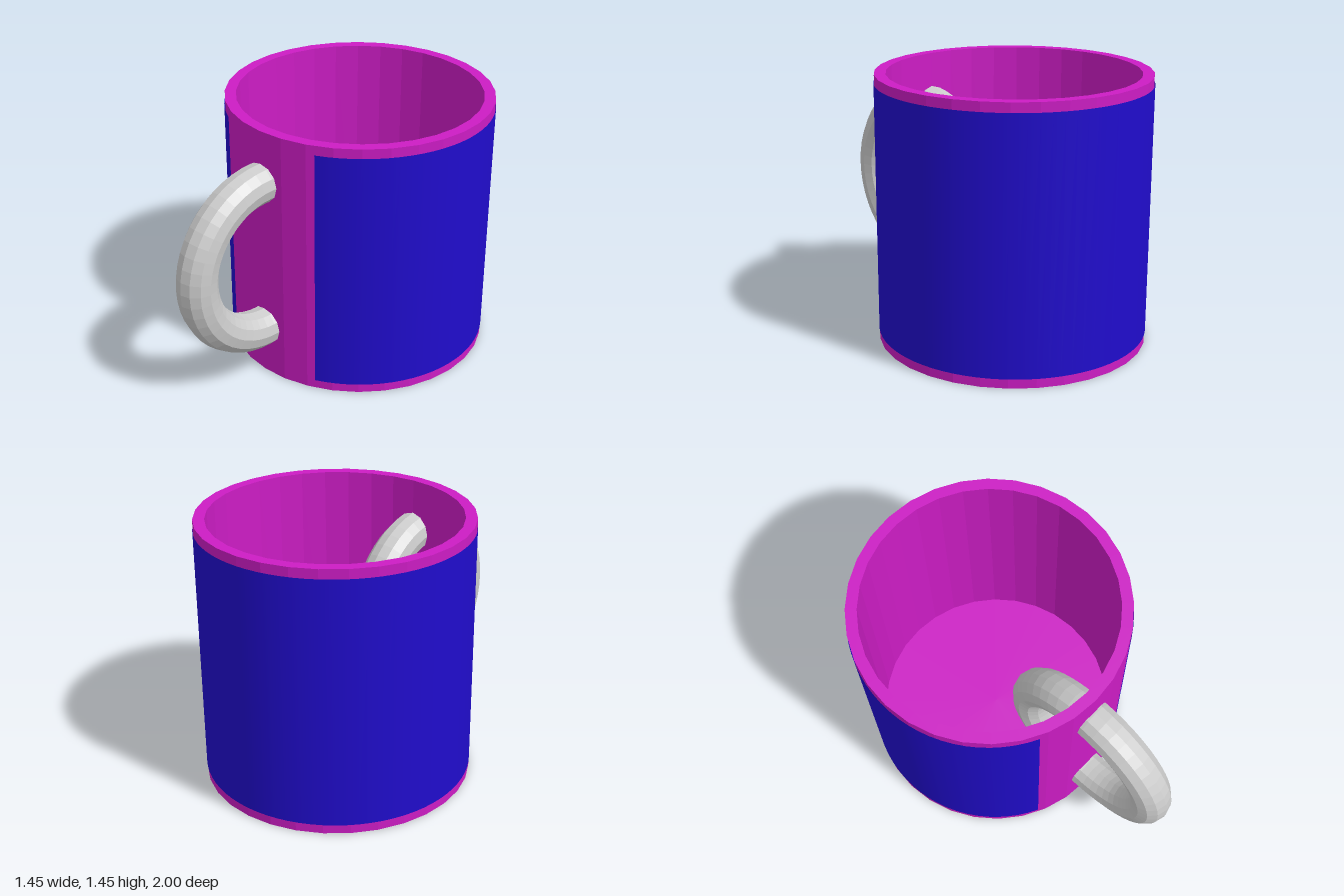
import * as THREE from 'three';

export function createModel() {
  const model = new THREE.Group();
  model.name = 'mug';
  const height = 1.45, radius = 0.723, innerRadius = 0.663, floor = 0.06, bodyZ = -0.275;

  const add = (name, geometry, options, y, z) => {
    const mesh = new THREE.Mesh(geometry, new THREE.MeshStandardMaterial(options));
    mesh.name = name;
    mesh.position.set(0, y, z);
    model.add(mesh);
    return mesh;
  };

  // Hollow faceted cup: base, outer wall, rim, inner wall, inside floor
  const profile = [
    [0, 0], [radius, 0], [radius, height],
    [innerRadius, height], [innerRadius, floor], [0, floor],
  ].map(([x, y]) => new THREE.Vector2(x, y));
  add('cup', new THREE.LatheGeometry(profile, 32), { color: 0xcc1cc4, flatShading: true }, 0, bodyZ);

  // Smooth coloured band around the cup, open behind the handle
  const gap = 0.457;
  const band = new THREE.CylinderGeometry(0.725, 0.725, 1.35, 64, 1, true, gap, Math.PI * 2 - gap * 2);
  add('wrap', band, { color: 0x200ccc, side: THREE.DoubleSide }, height / 2, bodyZ);

  // Full ring handle that passes through the front wall
  const ring = new THREE.TorusGeometry(0.435, 0.108, 12, 48).rotateY(Math.PI / 2);
  add('handle', ring, { color: 0xcccccc, flatShading: true }, height / 2, 0.457);

  return model;
}
